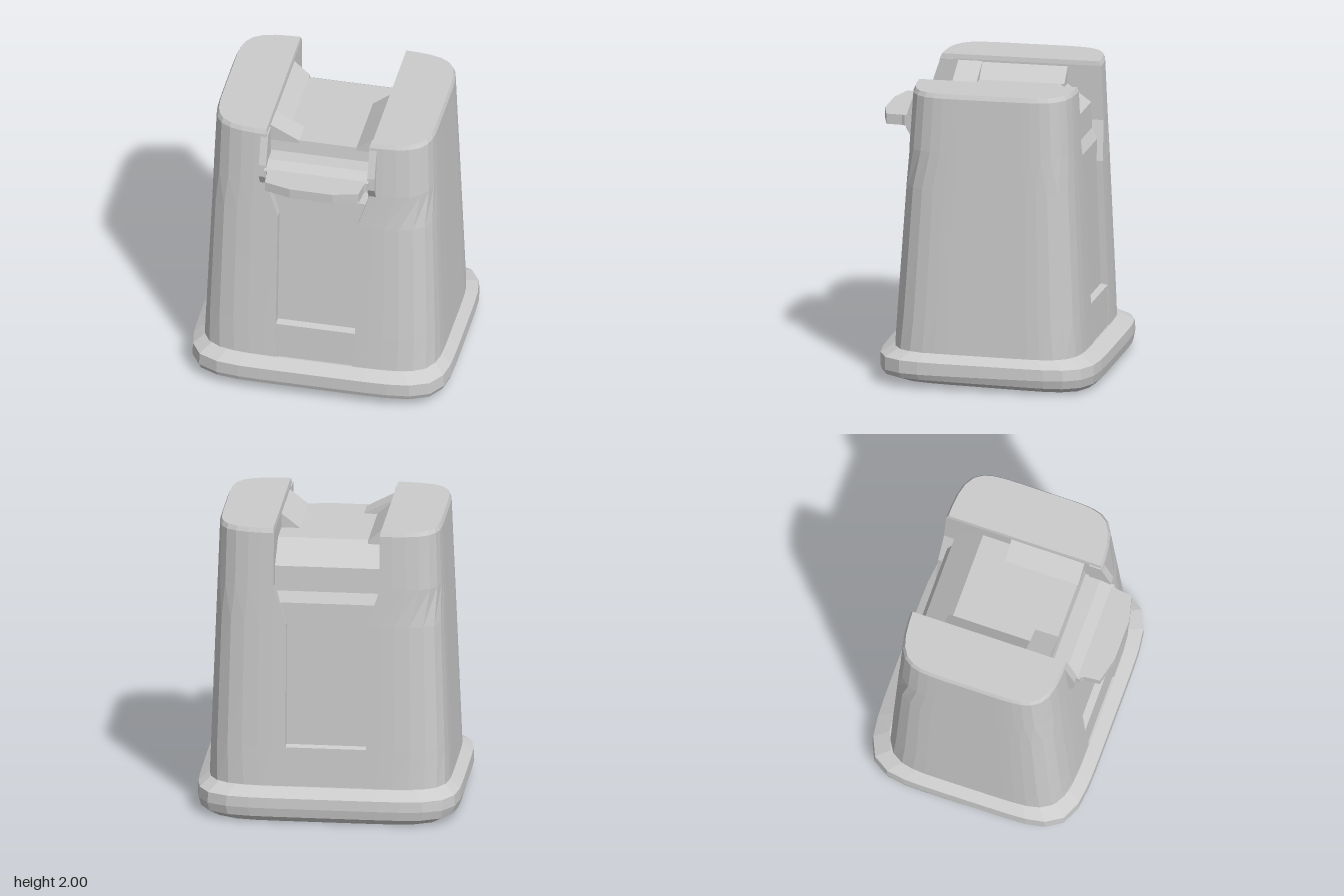
import * as THREE from 'three';

const material = new THREE.MeshStandardMaterial({ color: 0xcccccc, flatShading: true });

function add(group, name, geometry) {
  const mesh = new THREE.Mesh(geometry, material);
  mesh.name = name;
  group.add(mesh);
}

// Rounded-square outline in x/z; with a cut, only the part where x > cut.
function outline(y, a, front, back, cut = null, tilt = 0) {
  const n = 6, count = cut === null ? 48 : 26;
  const b = (front - back) / 2, mid = (front + back) / 2;
  let limit = Math.PI;
  if (cut !== null) {
    const u = cut / a;
    limit = Math.atan2((1 - u ** n) ** (1 / n), u);
  }
  const ring = [];
  for (let i = 0; i < count; i++) {
    const p = -limit + (2 * limit * i) / (cut === null ? count : count - 1);
    const c = Math.cos(p), s = Math.sin(p);
    const r = (Math.abs(c) ** n + Math.abs(s) ** n) ** (-1 / n);
    const z = mid + b * r * s;
    ring.push([a * r * c, y + tilt * z, z]);
  }
  return ring;
}

// Skin stacked closed rings, with caps at both ends.
function loft(rings) {
  const n = rings[0].length, index = [];
  for (let k = 0; k < rings.length - 1; k++) {
    for (let i = 0; i < n; i++) {
      const j = (i + 1) % n, p = k * n, q = p + n;
      index.push(p + i, q + i, p + j, p + j, q + i, q + j);
    }
  }
  const top = (rings.length - 1) * n;
  for (let i = 1; i < n - 1; i++) {
    index.push(0, i, i + 1, top, top + i + 1, top + i);
  }
  const g = new THREE.BufferGeometry();
  g.setAttribute('position', new THREE.Float32BufferAttribute(rings.flat(2), 3));
  g.setIndex(index);
  const flat = g.toNonIndexed();
  flat.computeVertexNormals();
  return flat;
}

const shapeOf = (points) => new THREE.Shape(points.map(([u, v]) => new THREE.Vector2(u, v)));

// Side profile given as [z, y], extruded across x between x0 and x1.
function acrossX(points, x0, x1) {
  const g = new THREE.ExtrudeGeometry(shapeOf(points), { depth: x1 - x0, bevelEnabled: false });
  return g.rotateY(-Math.PI / 2).translate(x1, 0, 0);
}

// Front profile given as [x, y], extruded along z between z0 and z1.
function alongZ(points, z0, z1) {
  const g = new THREE.ExtrudeGeometry(shapeOf(points), { depth: z1 - z0, bevelEnabled: false });
  return g.translate(0, 0, z0);
}

export function createModel() {
  const model = new THREE.Group();
  model.name = 'taperedBin';

  // Flared foot with bevelled rims
  add(model, 'base', loft([
    outline(0.018, 0.80, 0.63, -0.73, null, 0.025),
    outline(0.055, 0.87, 0.71, -0.77, null, 0.02),
    outline(0.10, 0.885, 0.72, -0.78),
    outline(0.18, 0.88, 0.72, -0.775, null, 0.012),
    outline(0.23, 0.81, 0.635, -0.675, null, 0.012),
  ]));

  // Two tapering side towers; the gap widens near the top
  const levels = [[0.2, 0.25], [0.49, 0.27], [0.99, 0.27], [1.34, 0.27], [1.6, 0.355], [1.97, 0.355], [2, 0.36]];
  const tower = levels.map(([y, cut]) => {
    const t = (y - 0.24) / 1.76, inset = y === 2 ? 0.012 : 0;
    return outline(y, 0.81 - 0.065 * t - inset, 0.63 - 0.12 * t - inset, -0.665 + 0.075 * t + inset, cut);
  });
  add(model, 'leftTower', loft(tower));
  add(model, 'rightTower', loft(tower.map((ring) => ring.map(([x, y, z]) => [-x, y, z]).reverse())));

  // Recessed centre column: front and back panels, ledges and channel floor
  add(model, 'centreColumn', acrossX([
    [0.622, 0.2], [0.605, 0.49], [0.555, 0.5], [0.485, 1.48], [0.42, 1.59], [0.38, 1.86],
    [-0.33, 1.86], [-0.52, 1.72], [-0.53, 1.55], [-0.57, 1.48], [-0.605, 0.5], [-0.65, 0.49], [-0.662, 0.2],
  ], -0.36, 0.36));

  // Sloping shoulders where the channel floor meets the towers
  const shoulder = (side, width) => {
    const points = [[0.37, 1.84], [0.37, 1.97], [0.36 - width, 1.86], [0.36 - width, 1.84]];
    return points.map(([x, y]) => [x * side, y]);
  };
  add(model, 'rightShoulder', alongZ(shoulder(-1, 0.11), -0.36, 0.22));
  add(model, 'rightFrontShoulder', alongZ(shoulder(-1, 0.2), 0.22, 0.385));
  add(model, 'leftShoulder', alongZ(shoulder(1, 0.13), -0.13, 0.385));

  // Protruding front lip
  const lip = new THREE.ExtrudeGeometry(shapeOf([
    [-0.36, 0.38], [0.36, 0.38], [0.37, 0.55], [0.33, 0.62], [0.32, 0.73], [0.15, 0.775],
    [-0.14, 0.775], [-0.32, 0.73], [-0.33, 0.62], [-0.37, 0.55],
  ]), { depth: 0.07, bevelEnabled: false });
  add(model, 'frontLip', lip.rotateX(Math.PI / 2).translate(0, 1.74, 0));

  // Thicker root under and over the lip
  add(model, 'lipRoot', acrossX([[0.38, 1.61], [0.48, 1.62], [0.6, 1.68], [0.6, 1.735], [0.5, 1.765], [0.38, 1.765]], -0.355, 0.355));

  // Fins joining the lip to the towers
  for (const side of [-1, 1]) {
    const x = side * 0.37;
    add(model, side < 0 ? 'rightFin' : 'leftFin', acrossX([
      [0.42, 1.55], [0.53, 1.58], [0.58, 1.67], [0.575, 1.76], [0.505, 1.97], [0.42, 1.97],
    ], x - 0.025, x + 0.025));
  }
  return model;
}
